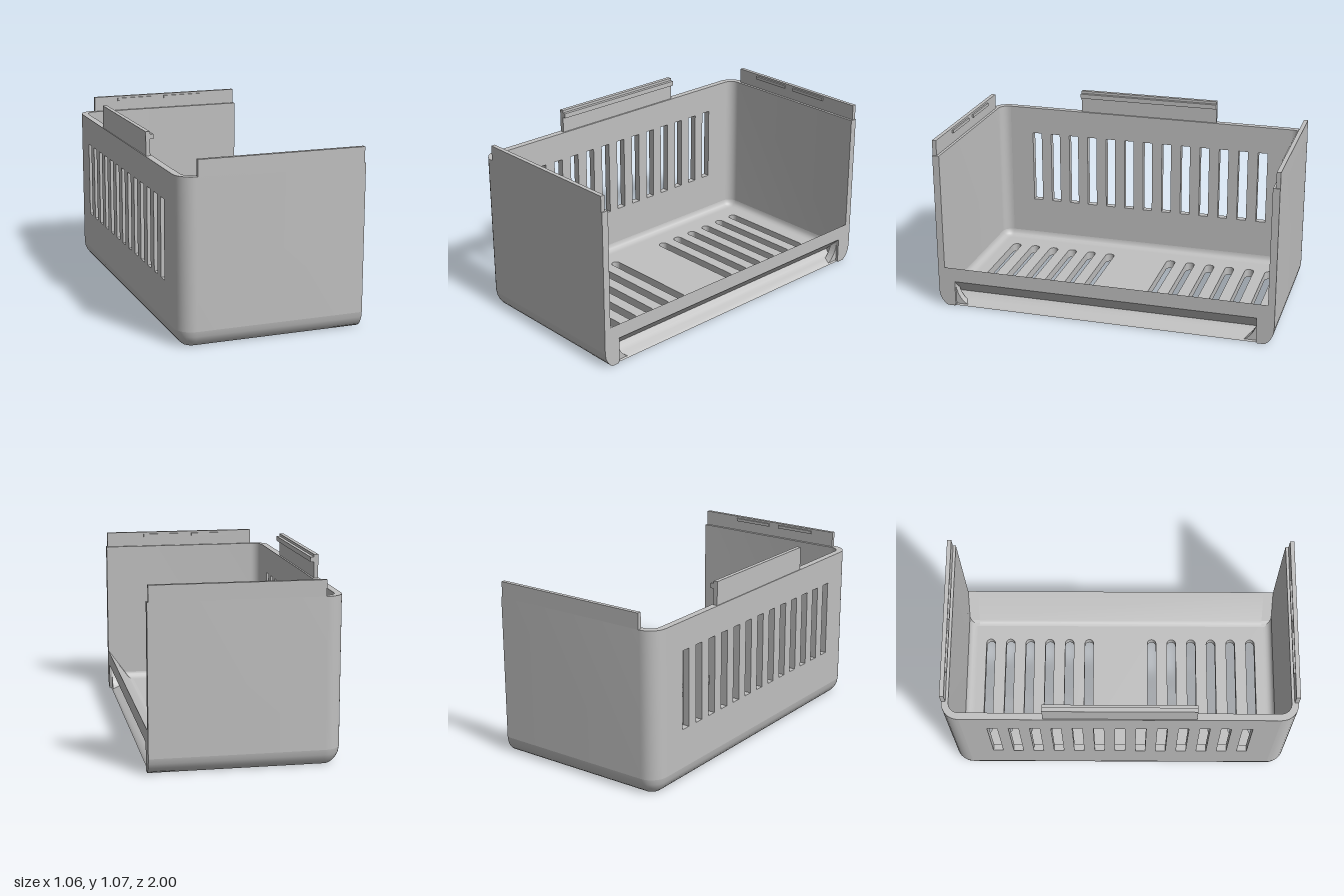
import * as THREE from 'three';
import { toCreasedNormals } from 'three/addons/utils/BufferGeometryUtils.js';

const R = 0.1;          // outer corner radius
const T = 0.04;         // wall thickness
const RIM = 0.93;       // wall top
const END = 0.53;       // half width in x
const CX = -END + R, CZ = 1 - R;

// Stations around the U-shaped footprint: corner centre plus outward direction
function makeStations() {
  const list = [{ x: END, z: CZ, nx: 0, nz: 1 }];
  for (const side of [1, -1]) {
    for (let i = 0; i <= 8; i++) {
      const a = (side > 0 ? i : 8 - i) / 8 * Math.PI / 2;
      list.push({ x: CX, z: side * CZ, nx: -Math.sin(a), nz: side * Math.cos(a) });
    }
  }
  list.push({ x: END, z: -CZ, nx: 0, nz: -1 });
  return list;
}

// Sweep a counter-clockwise section of [inset, y] points along the stations
function sweep(section, stations) {
  const pos = [];
  const n = section.length;
  const put = (s, i) => {
    const r = R - section[i][0];
    pos.push(s.x + s.nx * r, section[i][1], s.z + s.nz * r);
  };
  for (let j = 0; j < stations.length - 1; j++) {
    const a = stations[j], b = stations[j + 1];
    for (let i = 0; i < n; i++) {
      const k = (i + 1) % n;
      put(a, i); put(a, k); put(b, k);
      put(a, i); put(b, k); put(b, i);
    }
  }
  const flat = section.map(([d, y]) => new THREE.Vector2(R - d, y));
  for (const [p, q, r] of THREE.ShapeUtils.triangulateShape(flat, [])) {
    const first = stations[0], last = stations[stations.length - 1];
    put(first, p); put(first, r); put(first, q);
    put(last, p); put(last, q); put(last, r);
  }
  const g = new THREE.BufferGeometry();
  g.setAttribute('position', new THREE.Float32BufferAttribute(pos, 3));
  return toCreasedNormals(g, 0.6);
}

const polygon = (pts) => new THREE.Shape(pts.map(([x, y]) => new THREE.Vector2(x, y)));
const rect = (x0, x1, y0, y1) => [[x0, y0], [x1, y0], [x1, y1], [x0, y1]];
const extrude = (shape, depth) =>
  new THREE.ExtrudeGeometry(shape, { depth, bevelEnabled: false, curveSegments: 8 });

// Extrude an [x, y] profile between two z positions
const alongZ = (pts, z0, z1) => extrude(polygon(pts), z1 - z0).translate(0, 0, z0);

function box(x0, x1, y0, y1, z0, z1) {
  return new THREE.BoxGeometry(x1 - x0, y1 - y0, z1 - z0)
    .translate((x0 + x1) / 2, (y0 + y1) / 2, (z0 + z1) / 2);
}

export function createModel() {
  const group = new THREE.Group();
  const grey = new THREE.MeshStandardMaterial({ color: 0xc0c0c0 });
  grey.name = 'light grey plastic';
  const add = (name, geometry) => {
    const mesh = new THREE.Mesh(geometry, grey);
    mesh.name = name;
    group.add(mesh);
  };

  // Rounded bottom edge running round three sides
  const stations = makeStations();
  add('bottomEdge', sweep([
    [0.095, 0], [0.05, 0], [0.033, 0.014], [0.017, 0.034], [0.005, 0.06], [0, 0.09],
    [T, 0.09], [0.043, 0.075], [0.052, 0.062], [0.065, 0.053], [0.08, 0.05], [0.095, 0.05],
  ], stations));

  // Side walls, each with its rounded corner
  const wall = [[T, 0.09], [0, 0.09], [0, RIM], [T, RIM]];
  add('leftWall', sweep(wall, stations.slice(0, 10)));
  add('rightWall', sweep(wall, stations.slice(10)));

  // Slotted long wall
  const panel = polygon(rect(-CZ, CZ, 0.09, RIM));
  for (let i = -6; i <= 6; i++) {
    const z = i * 0.121;
    panel.holes.push(polygon(rect(z - 0.029, z + 0.029, 0.315, 0.765)));
  }
  add('slottedWall', extrude(panel, T).rotateY(-Math.PI / 2).translate(-END + T, 0, 0));

  // Floor with two banks of rounded slots
  const floor = polygon(rect(-0.44, 0.42, -0.91, 0.91));
  const w = 0.0275;
  for (const side of [1, -1]) {
    for (let i = 0; i < 6; i++) {
      const z = side * (0.198 + 0.125 * i);
      const slot = new THREE.Path();
      slot.moveTo(-0.345 + w, z - w);
      slot.lineTo(0.28 - w, z - w);
      slot.absarc(0.28 - w, z, w, -Math.PI / 2, Math.PI / 2, false);
      slot.lineTo(-0.345 + w, z + w);
      slot.absarc(-0.345 + w, z, w, Math.PI / 2, Math.PI * 1.5, false);
      floor.holes.push(slot);
    }
  }
  add('floor', extrude(floor, 0.05).rotateX(Math.PI / 2).translate(0, 0.05, 0));

  // Sloping front lip with a finger groove underneath
  add('frontLip', toCreasedNormals(alongZ([
    [0.37, 0], [0.52, 0], [0.51, 0.012], [0.475, 0.022], [0.45, 0.037], [0.433, 0.06],
    [END, 0.155], [END, 0.24], [0.405, 0.066], [0.39, 0.053], [0.37, 0.05],
  ], -0.9, 0.9), 0.6));

  for (const side of [1, -1]) {
    // Solid ends of the lip
    const [a, b] = side > 0 ? [0.9, 0.962] : [-0.962, -0.9];
    add('lipEnd', alongZ([
      [0.37, 0.008], [END, 0.008], [END, 0.24], [0.405, 0.066], [0.39, 0.053], [0.37, 0.05],
    ], a, b));

    // Concave fillet at each end of the groove
    const fillet = new THREE.Shape();
    fillet.moveTo(side * 0.9, 0.01);
    fillet.lineTo(side * 0.9, 0.12);
    fillet.quadraticCurveTo(side * 0.885, 0.04, side * 0.83, 0.01);
    add('grooveFillet', extrude(fillet, 0.045).rotateY(-Math.PI / 2).translate(0.515, 0, 0));

    // Thin tab above each side wall with two snap ridges inside
    const span = (p, q) => (side > 0 ? [p, q] : [-q, -p]);
    add('sideTab', box(-0.425, 0.523, RIM - 0.01, 1.02, ...span(0.976, 1)));
    for (const x of [-0.275, 0.04]) {
      add('snapRidge', box(x, x + 0.245, 0.99, 1.008, ...span(0.966, 0.977)));
    }
  }

  // Hooked latch strip on the slotted wall
  add('latchStrip', alongZ([
    [-0.525, RIM - 0.01], [-0.5, RIM - 0.01], [-0.5, 1.022], [-0.48, 1.022],
    [-0.48, 1.05], [-0.5, 1.05], [-0.5, 1.065], [-0.525, 1.065],
  ], -0.43, 0.43));

  return group;
}
